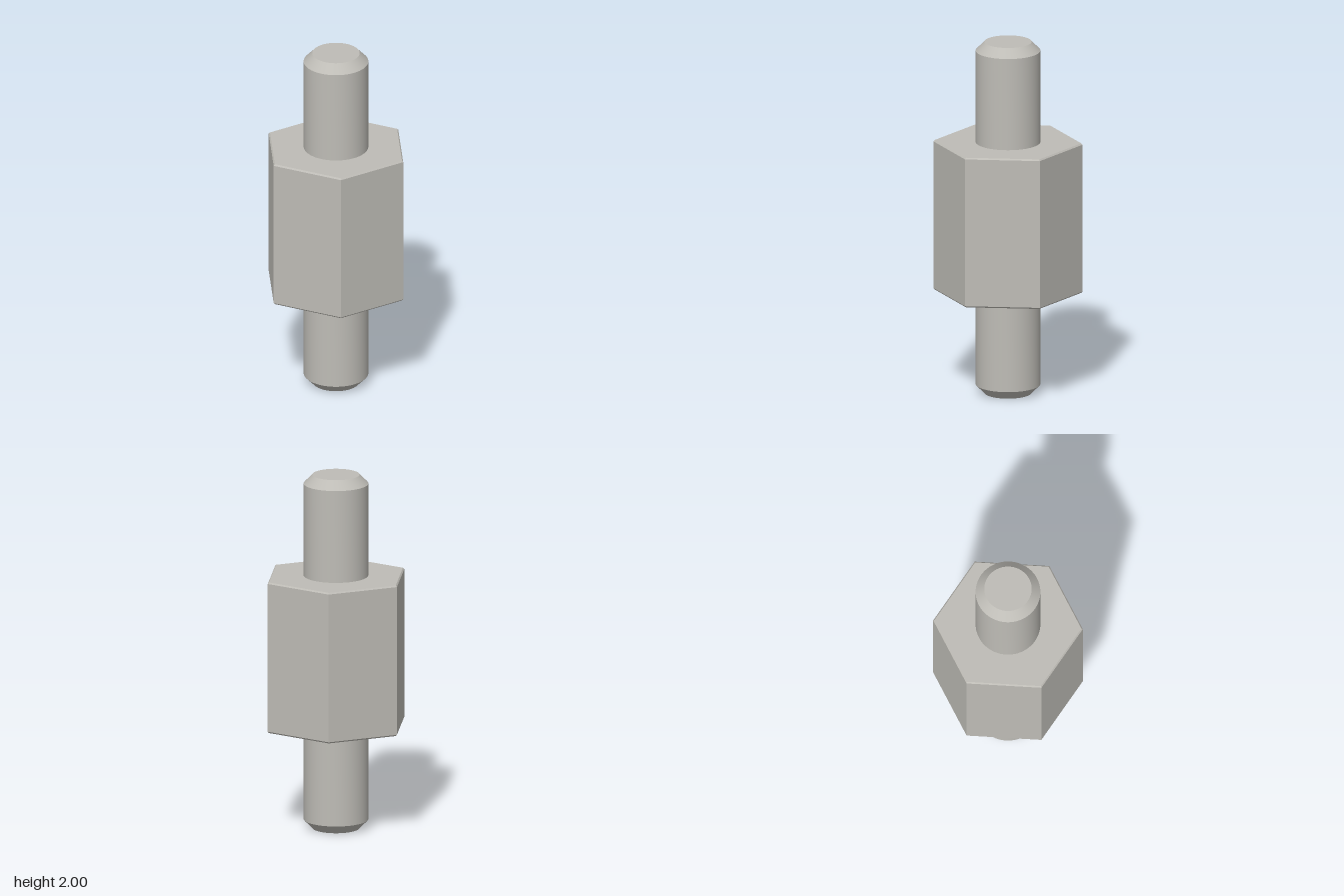
import * as THREE from 'three';
import { toCreasedNormals } from 'three/addons/utils/BufferGeometryUtils.js';

const steel = new THREE.MeshStandardMaterial({ color: 0xbebcb6 });
steel.name = 'steel grey';

// Turned part from a bottom-to-top profile of [radius, height], sharp edges kept
function turned(name, profile, sides, start = 0) {
  const points = profile.map(([r, y]) => new THREE.Vector2(r, y));
  const geometry = new THREE.LatheGeometry(points, sides, start);
  const mesh = new THREE.Mesh(toCreasedNormals(geometry, 0.4), steel);
  mesh.name = name;
  return mesh;
}

export function createModel() {
  const model = new THREE.Group();
  model.name = 'hexStandoff';

  const bottom = 0.577, top = 1.43;
  const R = 0.412, bevel = 0.008;

  // Hexagonal body with slightly bevelled rims, corners on the x axis
  model.add(turned('hexBody', [
    [0, bottom], [R - bevel, bottom], [R, bottom + bevel],
    [R, top - bevel], [R - bevel, top], [0, top],
  ], 6, Math.PI / 2));

  // Round studs with chamfered tips, one at each end
  const stud = (name, length) => turned(name, [
    [0.178, 0], [0.178, length - 0.05], [0.13, length], [0, length],
  ], 64);

  const topStud = stud('topStud', 2 - top);
  topStud.position.y = top;

  const bottomStud = stud('bottomStud', bottom);
  bottomStud.position.y = bottom;
  bottomStud.rotation.x = Math.PI;

  model.add(topStud, bottomStud);
  return model;
}
